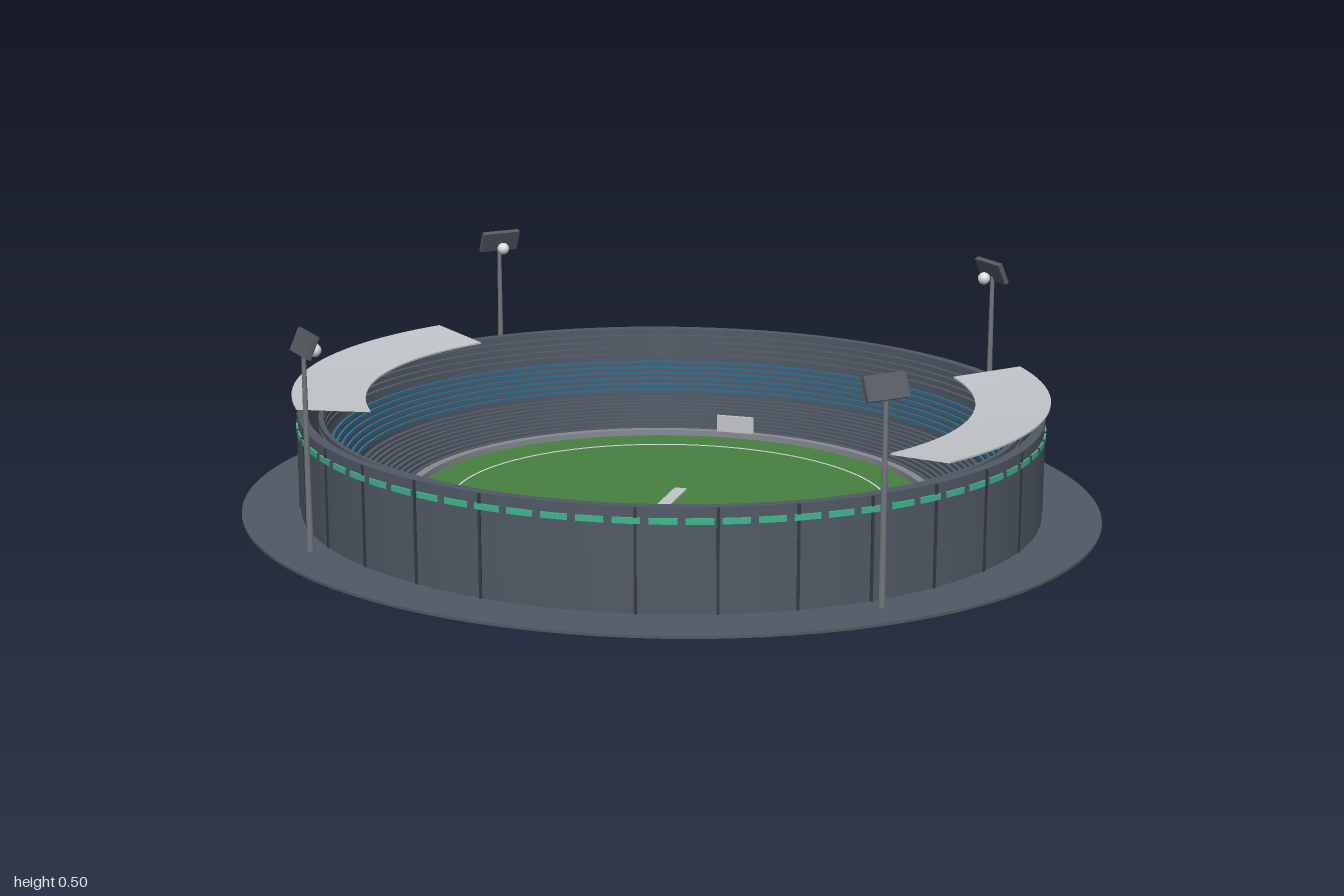
import * as THREE from 'three';
import { toCreasedNormals } from 'three/addons/utils/BufferGeometryUtils.js';

const OVAL = 0.927; // depth / width ratio of every oval

function material(name, color, side = THREE.FrontSide) {
  const m = new THREE.MeshStandardMaterial({ color, side });
  m.name = name;
  return m;
}

export function createModel() {
  const slate = material('slate concrete', 0x505965);
  const dark = material('dark trim', 0x343a42);
  const blue = material('seat blue', 0x2c6a8e);
  const green = material('grass green', 0x468040);
  const pale = material('roof pale grey', 0xc2c5c9, THREE.DoubleSide);
  const fence = material('fence grey', 0x868991);
  const teal = material('teal strip', 0x3fb58c);
  const steel = material('steel grey', 0x72767c);
  const panel = material('lamp panel grey', 0x555a61);
  const white = material('line white', 0xdcdedd);

  const model = new THREE.Group();
  function add(geometry, mat, name, parent = model) {
    const mesh = new THREE.Mesh(geometry, mat);
    mesh.name = name;
    parent.add(mesh);
    return mesh;
  }
  function group(name) {
    const g = new THREE.Group();
    g.name = name;
    model.add(g);
    return g;
  }

  // Oval sweep of a closed profile; angles run from +z towards +x
  function sweep(points, segments = 96, start = 0, length = Math.PI * 2) {
    const g = new THREE.LatheGeometry(points.map(p => new THREE.Vector2(p[0], p[1])), segments, start, length);
    g.scale(1, 1, OVAL);
    return toCreasedNormals(g, 0.6);
  }
  const ring = (r0, r1, y0, y1, ...rest) =>
    sweep([[r0, y0], [r1, y0], [r1, y1], [r0, y1], [r0, y0]], ...rest);

  // Ground ring and outer wall
  add(ring(0.85, 1, 0, 0.006), slate, 'plinth');
  add(ring(0.84, 0.863, 0, 0.235), slate, 'outerWall');

  // Upright joints on the wall, left out on the four axes
  const joints = group('wallJoints');
  for (let i = 0; i < 32; i++) {
    if (i % 8 === 0) continue;
    const a = (i / 32) * Math.PI * 2;
    const joint = add(new THREE.BoxGeometry(0.006, 0.228, 0.006), dark, 'wallJoint', joints);
    joint.position.set(0.863 * Math.sin(a), 0.12, 0.863 * OVAL * Math.cos(a));
    joint.rotation.y = Math.atan2(Math.sin(a) * OVAL, Math.cos(a));
  }

  // Dashed strip near the wall top
  const strip = group('wallStrip');
  for (let i = 0; i < 72; i++) {
    const step = (Math.PI * 2) / 72;
    add(ring(0.862, 0.867, 0.199, 0.212, 2, (i - 0.39) * step, 0.78 * step), teal, 'stripDash', strip);
  }

  // Lower terrace
  const lower = group('lowerStand');
  for (let i = 0; i < 10; i++) {
    const r = 0.632 + i * 0.0104, y = 0.014 + i * 0.0064;
    add(ring(r, r + 0.0108, y, y + 0.0075), slate, 'lowerRow', lower);
  }

  // Middle terrace with blue seating
  const middle = group('middleStand');
  for (let i = 0; i < 6; i++) {
    const r = 0.736 + i * 0.0093, y = 0.08 + i * 0.0125;
    add(ring(r, r + 0.0097, y, y + 0.0125), slate, 'middleRow', middle);
    add(ring(r + 0.0012, r + 0.0085, y + 0.0125, y + 0.0175), blue, 'seatRow', middle);
  }

  // Slim upper bands, free of the wall
  const upper = group('upperStand');
  for (let i = 0; i < 4; i++) {
    const y = 0.163 + i * 0.0165;
    add(ring(0.804, 0.815, y, y + 0.0115), slate, 'upperBand', upper);
  }

  // Playing field
  const disc = new THREE.CylinderGeometry(0.615, 0.615, 0.005, 96);
  disc.scale(1, 1, OVAL);
  add(disc, green, 'field').position.y = 0.0035;
  add(ring(0.61, 0.631, 0, 0.02), fence, 'perimeterFence');
  add(ring(0.513, 0.517, 0.004, 0.0075), white, 'boundaryLine');
  add(new THREE.BoxGeometry(0.03, 0.009, 0.19), pale, 'pitch').position.y = 0.0045;
  for (const s of [-1, 1]) {
    add(new THREE.BoxGeometry(0.095, 0.055, 0.008), pale, 'sightScreen').position.set(0, 0.034, s * 0.572);
  }

  // Curved roofs over both sides
  const half = THREE.MathUtils.degToRad(32);
  for (const s of [-1, 1]) {
    const profile = [[0.705, 0.26], [0.875, 0.276], [0.875, 0.28], [0.705, 0.264], [0.705, 0.26]];
    add(sweep(profile, 24, s * Math.PI / 2 - half, half * 2), pale, s > 0 ? 'leftRoof' : 'rightRoof');
  }

  // Floodlight towers, each turned to face the centre
  for (const sx of [-1, 1]) for (const sz of [-1, 1]) {
    const tower = group('floodlight');
    tower.position.set(sx * 0.64, 0, sz * 0.597);
    tower.rotation.y = Math.atan2(-sx, -sz);
    add(new THREE.CylinderGeometry(0.005, 0.008, 0.46, 10), steel, 'pole', tower).position.y = 0.23;
    const head = add(new THREE.BoxGeometry(0.1, 0.054, 0.012), panel, 'lampPanel', tower);
    head.position.set(0, 0.473, 0.003);
    head.rotation.x = 0.42;
    add(new THREE.SphereGeometry(0.015, 16, 12), white, 'lamp', tower).position.set(0, 0.456, 0.025);
  }
  return model;
}
